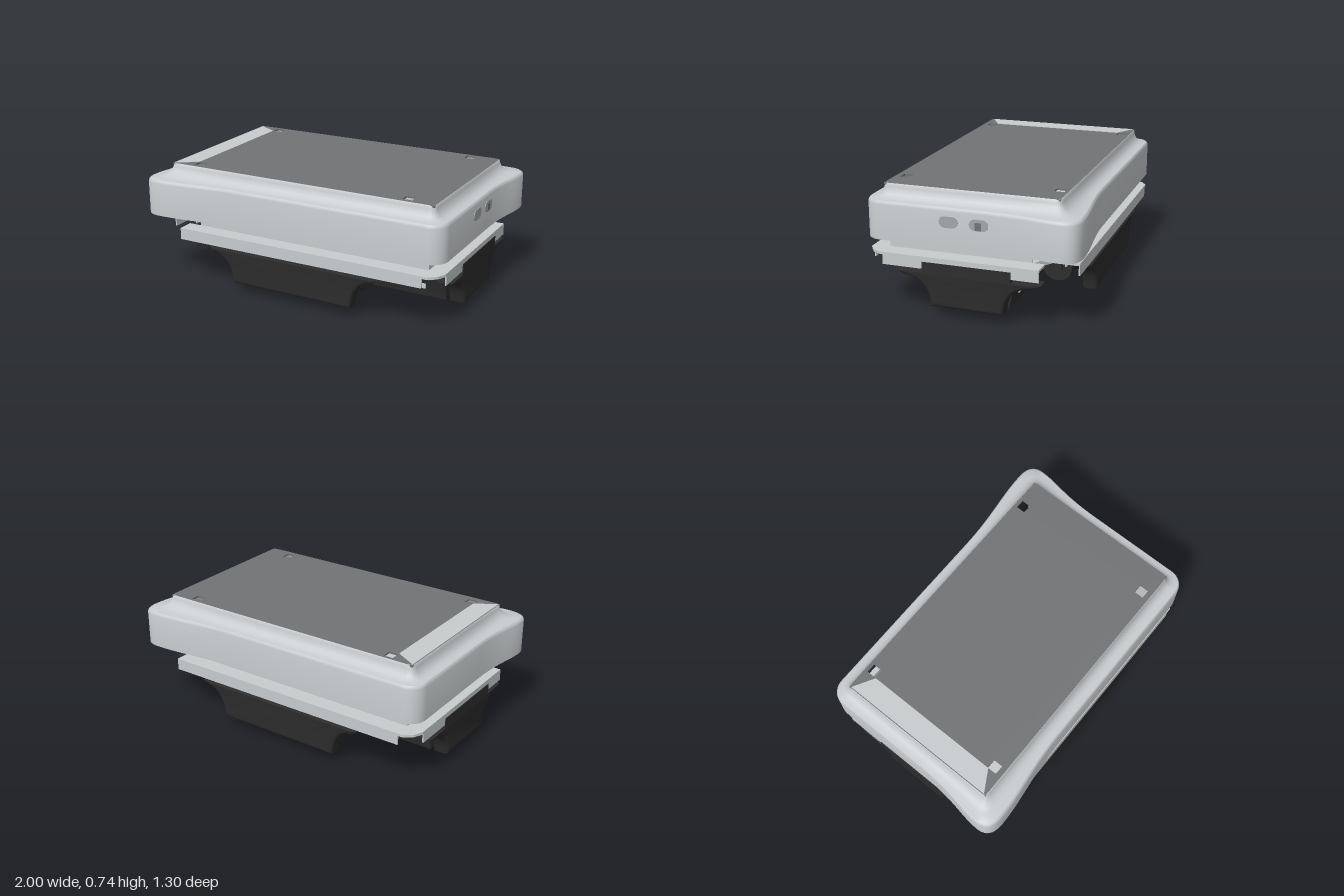
import * as THREE from 'three';
import { toCreasedNormals } from 'three/addons/utils/BufferGeometryUtils.js';

const mat = (name, color, side = THREE.FrontSide) => {
  const m = new THREE.MeshStandardMaterial({ color, side });
  m.name = name;
  return m;
};

export function createModel() {
  const light = mat('lightGreyShell', 0xc8ccce, THREE.DoubleSide);
  const port = mat('portGrey', 0xa4a8aa);
  const grey = mat('deckGrey', 0x717375);
  const dark = mat('blackPlastic', 0x2d2d2e);
  const model = new THREE.Group();

  const add = (parent, name, geo, material, x = 0, y = 0, z = 0) => {
    const m = new THREE.Mesh(geo, material);
    m.name = name;
    m.position.set(x, y, z);
    parent.add(m);
    return m;
  };
  const box = (parent, name, m, x0, x1, y0, y1, z0, z1) =>
    add(parent, name, new THREE.BoxGeometry(x1 - x0, y1 - y0, z1 - z0), m,
      (x0 + x1) / 2, (y0 + y1) / 2, (z0 + z1) / 2);

  // horizontal plate from an (x, z) outline, hanging down from y = top
  const plate = (parent, name, m, pts, top, depth, holes = []) => {
    const s = new THREE.Shape(pts.map(p => new THREE.Vector2(...p)));
    for (const [x, z, h] of holes) {
      s.holes.push(new THREE.Path([[-h, -h], [-h, h], [h, h], [h, -h]]
        .map(([a, b]) => new THREE.Vector2(x + a, z + b))));
    }
    const g = new THREE.ExtrudeGeometry(s, { depth, bevelEnabled: false });
    return add(parent, name, g.rotateX(Math.PI / 2), m, 0, top, 0);
  };
  const corners = [];
  for (const x of [-0.7, 0.69]) for (const z of [-0.462, 0.45]) corners.push([x, z, 0.029]);

  // cover outline: rounded rectangle with two opposite corners flared by b
  const outline = (w, d, r, b) => {
    const p = new THREE.Path(), W = w + b, D = d + b;
    p.moveTo(w, -0.1);
    p.lineTo(w, d - r);
    p.bezierCurveTo(w, d - r * 0.45, w - r * 0.45, d, w - r, d);
    p.lineTo(-0.3, d);
    p.bezierCurveTo(-0.55, d, -0.7, D, -W + r * 1.2, D);
    p.bezierCurveTo(-W + r * 0.35, D, -W, D - r * 0.35, -W, D - r);
    p.bezierCurveTo(-W, D - r * 2.2, -w, 0.35, -w, 0.1);
    const half = p.getPoints(10).slice(0, -1);
    return [...half, ...half.map(v => v.clone().negate())];
  };
  const outer = outline(0.955, 0.605, 0.1, 0.045);
  const inner = outline(0.865, 0.512, 0.03, 0);

  // cover shell: [blend from outer to inner outline, height]
  const levels = [[0, 0.435], [0, 0.64], [0.03, 0.652], [0.1, 0.66], [0.4, 0.663], [0.6, 0.67],
    [0.76, 0.683], [0.88, 0.703], [0.94, 0.722], [0.96, 0.735], [1, 0.741]];
  const n = outer.length, pos = [], idx = [];
  levels.forEach(([t, y], l) => outer.forEach((o, i) => {
    const q = o.clone().lerp(inner[i], t);
    pos.push(q.x, y, q.y);
    if (l < levels.length - 1) {
      const a = l * n + i, c = l * n + (i + 1) % n;
      idx.push(a, a + n, c, c, a + n, c + n);
    }
  }));
  const shell = new THREE.BufferGeometry();
  shell.setAttribute('position', new THREE.Float32BufferAttribute(pos, 3));
  shell.setIndex(idx);
  add(model, 'topCover', toCreasedNormals(shell, 0.6), light);

  // load deck with four square sockets and a pale strip at one end
  plate(model, 'loadDeck', grey, [[-0.865, -0.512], [0.865, -0.512], [0.865, 0.512], [-0.865, 0.512]],
    0.74, 0.01, corners);
  plate(model, 'deckEndStrip', light, [[-0.86, -0.5], [-0.73, -0.425], [-0.73, 0.425], [-0.86, 0.5]],
    0.743, 0.004);

  // two oval ports on the right end of the cover, one with a connector in it
  for (const z of [0.09, -0.085]) {
    const s = new THREE.Shape();
    s.absarc(0.023, 0, 0.032, -Math.PI / 2, Math.PI / 2);
    s.absarc(-0.023, 0, 0.032, Math.PI / 2, Math.PI * 1.5);
    const g = new THREE.ExtrudeGeometry(s, { depth: 0.006, bevelEnabled: false, curveSegments: 16 });
    add(model, 'ovalPort', g.rotateY(Math.PI / 2), port, 0.953, 0.58, z);
  }
  box(model, 'portConnector', grey, 0.955, 0.961, 0.55, 0.595, -0.1, -0.065);

  // inner floor with cut-away scanner corners, and the dark underside
  plate(model, 'innerFloor', light, [[-0.84, -0.5], [0.5, -0.5], [0.84, -0.3], [0.84, 0.5],
    [-0.5, 0.5], [-0.84, 0.3]], 0.335, 0.035, corners.filter(c => c[0] * c[1] > 0));
  box(model, 'underside', dark, -0.3, 0.3, 0.275, 0.3, -0.4, 0.4);

  // skirt profile with wheel-arch sides; a = top half width, b = bottom half width
  const skirt = (a, b, top, depth, bevel) => {
    const s = new THREE.Shape(), y0 = 0.07 + bevel, r = b - bevel, A = a - bevel, T = top - bevel;
    s.moveTo(-r, y0);
    s.lineTo(r, y0);
    s.bezierCurveTo(r + 0.015, 0.2, r + 0.07, T - 0.01, A, T);
    s.lineTo(-A, T);
    s.bezierCurveTo(-r - 0.07, T - 0.01, -r - 0.015, 0.2, -r, y0);
    const d = depth - 2 * bevel;
    const g = new THREE.ExtrudeGeometry(s, { depth: d, bevelEnabled: bevel > 0, bevelSize: bevel,
      bevelThickness: bevel, bevelSegments: 3, curveSegments: 14 });
    return toCreasedNormals(g.translate(0, 0, -d / 2), 0.6);
  };
  add(model, 'chassisBeam', skirt(0.3, 0.215, 0.3, 1.67, 0).rotateY(Math.PI / 2), dark);

  // pale square slots across the beam
  box(model, 'lowerSlot', light, 0.67, 0.71, 0.12, 0.152, -0.232, 0.232);
  box(model, 'upperSlot', light, 0.67, 0.71, 0.2, 0.23, -0.257, 0.257);

  // hollow wheel tyre
  const tyreShape = new THREE.Shape().absarc(0, 0, 0.09, 0, Math.PI * 2);
  tyreShape.holes.push(new THREE.Path().absarc(0, 0, 0.068, 0, Math.PI * 2, true));
  const tyre = toCreasedNormals(new THREE.ExtrudeGeometry(tyreShape,
    { depth: 0.1, bevelEnabled: false, curveSegments: 32 }).translate(0, 0, -0.05), 0.6);

  // everything below repeats after half a turn
  for (const [name, turn] of [['frontRightHalf', 0], ['backLeftHalf', Math.PI]]) {
    const half = new THREE.Group();
    half.name = name;
    half.rotation.y = turn;
    model.add(half);

    // L-shaped tray rim with thin lips, and recessed walls
    plate(half, 'trayRim', light, [[-0.77, 0.5], [0.84, 0.5], [0.84, -0.42], [0.945, -0.42],
      [0.945, 0.51], [0.92, 0.565], [0.87, 0.6], [-0.77, 0.6]], 0.36, 0.015);
    box(half, 'longLip', light, -0.77, 0.84, 0.288, 0.355, 0.592, 0.6);
    box(half, 'endLip', light, 0.937, 0.945, 0.288, 0.355, -0.42, 0.5);
    box(half, 'longWall', light, -0.69, 0.84, 0.3, 0.6, 0.49, 0.5);
    box(half, 'endWall', light, 0.83, 0.84, 0.3, 0.6, -0.35, 0.5);

    // skirts
    add(half, 'longSkirt', skirt(0.56, 0.4, 0.29, 0.09, 0.02), dark, 0, 0, 0.556);
    add(half, 'endSkirt', skirt(0.42, 0.215, 0.285, 0.1, 0.02).rotateY(Math.PI / 2), dark, 0.898, 0, 0);
    box(half, 'endSkirtTop', dark, 0.9, 0.949, 0.26, 0.33, -0.26, 0.26);

    // drive wheel, motor tube and bracket
    const wheelX = turn ? 0.07 : -0.07;
    add(half, 'driveWheel', tyre, dark, wheelX, 0.093, 0.36);
    add(half, 'wheelAxle', new THREE.CylinderGeometry(0.025, 0.025, 0.17, 16).rotateX(Math.PI / 2),
      dark, wheelX, 0.095, 0.37);
    add(half, 'motorTube', new THREE.CylinderGeometry(0.09, 0.09, 0.8, 28).rotateZ(Math.PI / 2),
      dark, 0, 0.187, 0.36);
    add(half, 'motorCap', new THREE.CylinderGeometry(0.035, 0.035, 0.86, 16).rotateZ(Math.PI / 2),
      dark, 0, 0.187, 0.36);
    box(half, 'bracketPlate', dark, -0.2, 0.2, 0.072, 0.31, 0.437, 0.445);
    box(half, 'bracketArm', dark, -0.1, 0.1, 0.08, 0.11, 0.44, 0.53);

    // scanner in the open corner
    add(half, 'cornerScanner', new THREE.CylinderGeometry(0.045, 0.045, 0.2, 24), light, -0.8, 0.49, 0.45);
  }
  return model;
}
